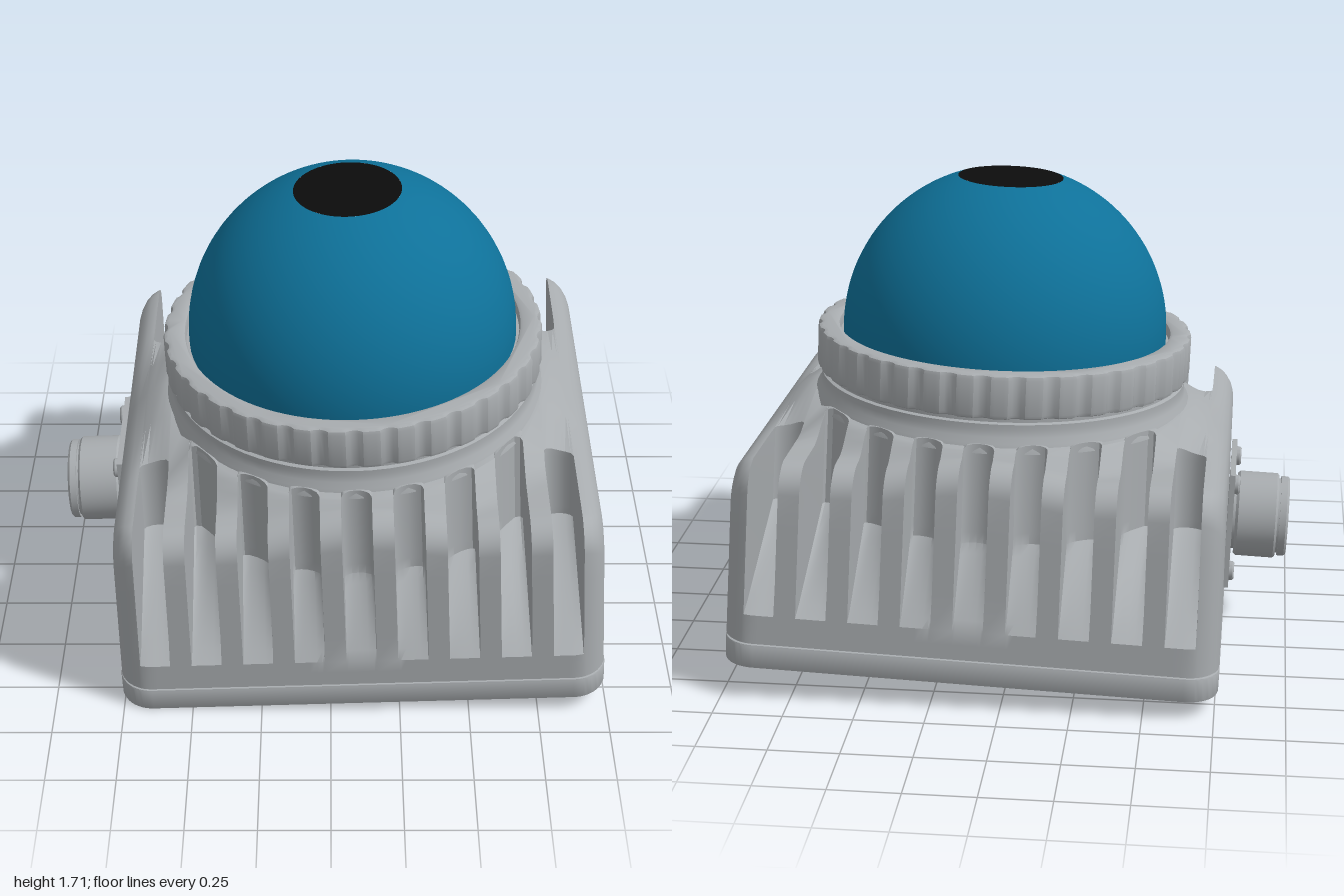
import * as THREE from 'three';
import { toCreasedNormals } from 'three/addons/utils/BufferGeometryUtils.js';

const grey = new THREE.MeshStandardMaterial({ color: 0xa8acaf });
grey.name = 'cast grey metal';
const blue = new THREE.MeshStandardMaterial({ color: 0x0e7199 });
blue.name = 'blue dome';
const black = new THREE.MeshStandardMaterial({ color: 0x0c0c0c });
black.name = 'black cap';

const HALF = 0.88, PITCH = 0.186, SLOT = 0.054, SEAM = 0.095;

function add(parent, name, geometry, material, x = 0, y = 0, z = 0) {
  const mesh = new THREE.Mesh(geometry, material);
  mesh.name = name;
  mesh.position.set(x, y, z);
  parent.add(mesh);
  return mesh;
}

function lathe(points, segments = 72) {
  const g = new THREE.LatheGeometry(points.map(([r, y]) => new THREE.Vector2(r, y)), segments);
  return toCreasedNormals(g, 0.6);
}

// Upright plate with rounded corners, optional holes [x, z, radius]
function roundedPlate(half, r, height, bevel, holes = []) {
  const s = new THREE.Shape(), c = half - r;
  [[c, c, 0], [-c, c, 1], [-c, -c, 2], [c, -c, 3]].forEach(([x, y, q]) =>
    s.absarc(x, y, r, q * Math.PI / 2, (q + 1) * Math.PI / 2, false));
  s.closePath();
  for (const [x, z, hr] of holes) {
    const p = new THREE.Path();
    p.absarc(x, -z, hr, 0, Math.PI * 2, true);
    s.holes.push(p);
  }
  const g = new THREE.ExtrudeGeometry(s, {
    depth: height - 2 * bevel, bevelThickness: bevel, bevelSize: bevel,
    bevelOffset: -bevel, bevelSegments: 2, curveSegments: 10
  });
  g.rotateX(-Math.PI / 2).translate(0, bevel, 0);
  return toCreasedNormals(g, 0.6);
}

// Quarter-circle falloff: 0 before start, reaching r at start + r
const fall = (v, start, r) =>
  v <= start ? 0 : r - Math.sqrt(Math.max(0, r * r - (v - start) ** 2));

// Half cross-section (z, y) of the housing at x, with the cooling slots cut in
function halfSection(x) {
  const ax = Math.abs(x), R = 0.1;
  const zF = HALF - fall(ax, HALF - 0.12, 0.12);
  const k = Math.max(-4, Math.min(4, Math.round(x / PITCH)));
  const off = Math.min(Math.abs(x - k * PITCH), SLOT);
  const zw = Math.max(0.4, Math.sqrt(Math.max(0, 0.715 ** 2 - x * x)))
    + 0.03 * (1 - Math.sqrt(1 - (off / SLOT) ** 2));
  const top = z => 0.75 - fall(ax, HALF - R, R)
    + 0.085 * THREE.MathUtils.smoothstep(0.87 - Math.hypot(x, z), 0, 0.17);
  const inSlot = Math.abs(x - k * PITCH) < SLOT - 0.0005;
  const zt = zF - R, yc = top(zt) - R;
  const mid = [];
  for (let i = 0; i < 4; i++) mid.push([zF, 0.2 + (yc - 0.2) * i / 4]);
  for (let i = 0; i <= 7; i++) {
    const a = i / 7 * Math.PI / 2;
    mid.push([zt + R * Math.cos(a), yc + R * Math.sin(a)]);
  }
  for (let i = 1; i <= 6; i++) {
    const z = zt + (zw - zt) * i / 6;
    mid.push([z, top(z)]);
  }
  if (inSlot) {
    const n = mid.length - 1, h = 8;
    for (let i = 0; i <= n; i++) {
      mid[i] = i <= h
        ? [zF + (zw - zF) * i / h, 0.2 + 0.27 * i / h]
        : [zw, 0.47 + (top(zw) - 0.47) * (i - h) / (n - h)];
    }
  }
  return [[0, SEAM], [zF, SEAM], [zF, 0.15], ...mid, [zw / 2, top(zw / 2)], [0, top(0)]];
}

// Finned housing: cross-sections swept along x
function housingGeometry() {
  const xs = [];
  for (const s of [-1, 1])
    for (const v of [0.88, 0.877, 0.868, 0.85, 0.83, 0.805]) xs.push(s * v);
  for (let k = -4; k <= 4; k++)
    for (const o of [-0.055, -0.053, -0.045, -0.025, 0, 0.025, 0.045, 0.053, 0.055])
      xs.push(k * PITCH + o);
  xs.sort((a, b) => a - b);
  const pos = [], idx = [];
  let n = 0;
  const put = (x, y, z) => {
    const draft = 1 - 0.027 * y;
    pos.push(x * draft, y, z * draft);
  };
  for (const x of xs) {
    const half = halfSection(x);
    const loop = [...half, ...half.slice(1, -1).reverse().map(([z, y]) => [-z, y])];
    n = loop.length;
    loop.forEach(([z, y]) => put(x, y, z));
  }
  for (let s = 0; s < xs.length - 1; s++)
    for (let i = 0; i < n; i++) {
      const j = (i + 1) % n, a = s * n + i, d = s * n + j;
      idx.push(a, a + n, d + n, a, d + n, d);
    }
  const last = (xs.length - 1) * n, c = xs.length * n;
  put(-HALF, 0.4, 0);
  put(HALF, 0.4, 0);
  for (let i = 0; i < n; i++) {
    const j = (i + 1) % n;
    idx.push(c, i, j, c + 1, last + j, last + i);
  }
  const g = new THREE.BufferGeometry();
  g.setAttribute('position', new THREE.Float32BufferAttribute(pos, 3));
  g.setIndex(idx);
  return toCreasedNormals(g, 0.55);
}

// Clamp ring with shallow grip scallops
function gripRingGeometry() {
  const s = new THREE.Shape(), N = 288;
  for (let i = 0; i < N; i++) {
    const a = i / N * Math.PI * 2;
    const r = 0.694 - 0.012 * Math.max(0, Math.cos(a * 36)) ** 0.7;
    s[i ? 'lineTo' : 'moveTo'](r * Math.cos(a), r * Math.sin(a));
  }
  s.closePath();
  const hole = new THREE.Path();
  hole.absarc(0, 0, 0.612, 0, Math.PI * 2, true);
  s.holes.push(hole);
  const g = new THREE.ExtrudeGeometry(s, {
    depth: 0.126, bevelThickness: 0.017, bevelSize: 0.014, bevelOffset: -0.014,
    bevelSegments: 2, curveSegments: 48
  });
  g.rotateX(-Math.PI / 2).translate(0, 0.937, 0);
  return toCreasedNormals(g, 0.5);
}

function connector() {
  const g = new THREE.Group();
  g.name = 'connector';
  // Axis runs along local y, turned to face -x
  add(g, 'connectorFlange', new THREE.BoxGeometry(0.44, 0.02, 0.44), grey, 0, 0.01, 0);
  add(g, 'connectorShell', lathe([
    [0.135, 0], [0.135, 0.03], [0.152, 0.03], [0.16, 0.04], [0.16, 0.178], [0.152, 0.186],
    [0.14, 0.186], [0.14, 0.194], [0.15, 0.194], [0.15, 0.218], [0.142, 0.226],
    [0.115, 0.226], [0.115, 0.12], [0, 0.12]
  ], 48), grey);
  for (let i = 0; i < 8; i++) {
    const a = i / 8 * Math.PI * 2;
    add(g, 'connectorPin', new THREE.CylinderGeometry(0.01, 0.01, 0.08, 10), grey,
      0.07 * Math.cos(a), 0.16, 0.07 * Math.sin(a));
  }
  for (const x of [-1, 1]) for (const z of [-1, 1])
    add(g, 'flangeScrew', lathe([[0.036, 0], [0.036, 0.022], [0.03, 0.028], [0.018, 0.028],
      [0.018, 0.021], [0, 0.021]], 20), grey, x * 0.17, 0.01, z * 0.17);
  g.rotation.z = Math.PI / 2;
  g.position.set(-0.872, 0.4, 0);
  return g;
}

export function createModel() {
  const root = new THREE.Group();
  root.name = 'domeSensor';
  const body = new THREE.Group();
  body.name = 'tiltedAssembly';
  body.position.set(0.118, 0.062, -0.003);
  body.rotation.set(0.037, 0, 0.036);
  root.add(body);

  // Base plate with mounting holes and corner screws
  const screws = [-1, 1].flatMap(x => [-1, 1].map(z => [x * 0.785, z * 0.785, 0.05]));
  const holes = [[0.63, -0.47, 0.024], [-0.67, -0.47, 0.024], [0.63, 0.56, 0.024],
    [-0.67, 0.56, 0.024], [-0.02, -0.62, 0.04], [-0.02, 0.5, 0.026]];
  add(body, 'basePlate', roundedPlate(HALF, 0.12, 0.09, 0.008, [...screws, ...holes]), grey);
  add(body, 'seamGasket', roundedPlate(HALF - 0.01, 0.11, 0.035, 0.001), grey, 0, 0.07, 0);
  for (const [x, z] of screws) {
    const screw = add(body, 'baseScrew', lathe([[0.042, 0], [0.042, 0.06], [0.036, 0.066],
      [0.02, 0.066], [0.02, 0.05], [0, 0.05]], 24), grey, x, 0.072, z);
    screw.rotation.x = Math.PI;
  }

  add(body, 'finnedHousing', housingGeometry(), grey);
  add(body, 'collar', lathe([[0.705, 0.8], [0.695, 0.835], [0.682, 0.855], [0.677, 0.88],
    [0.677, 0.9], [0.665, 0.905], [0.665, 0.94]]), grey);
  add(body, 'gripRing', gripRingGeometry(), grey);
  add(body, 'domeSeat', new THREE.CylinderGeometry(0.63, 0.63, 0.1, 64), grey, 0, 0.99, 0);

  // Truncated dome and its flat cap
  const R = 0.6, cut = Math.asin(0.193 / R);
  add(body, 'dome', new THREE.SphereGeometry(R, 72, 36, 0, Math.PI * 2, cut, Math.PI / 2 - cut),
    blue, 0, 1.07, 0);
  add(body, 'domeSkirt', new THREE.CylinderGeometry(R, R, 0.04, 72, 1, true), blue, 0, 1.05, 0);
  const cap = add(body, 'domeCap', new THREE.CircleGeometry(0.193, 64), black,
    0, 1.07 + R * Math.cos(cut), 0);
  cap.rotation.x = -Math.PI / 2;

  body.add(connector());
  return root;
}
